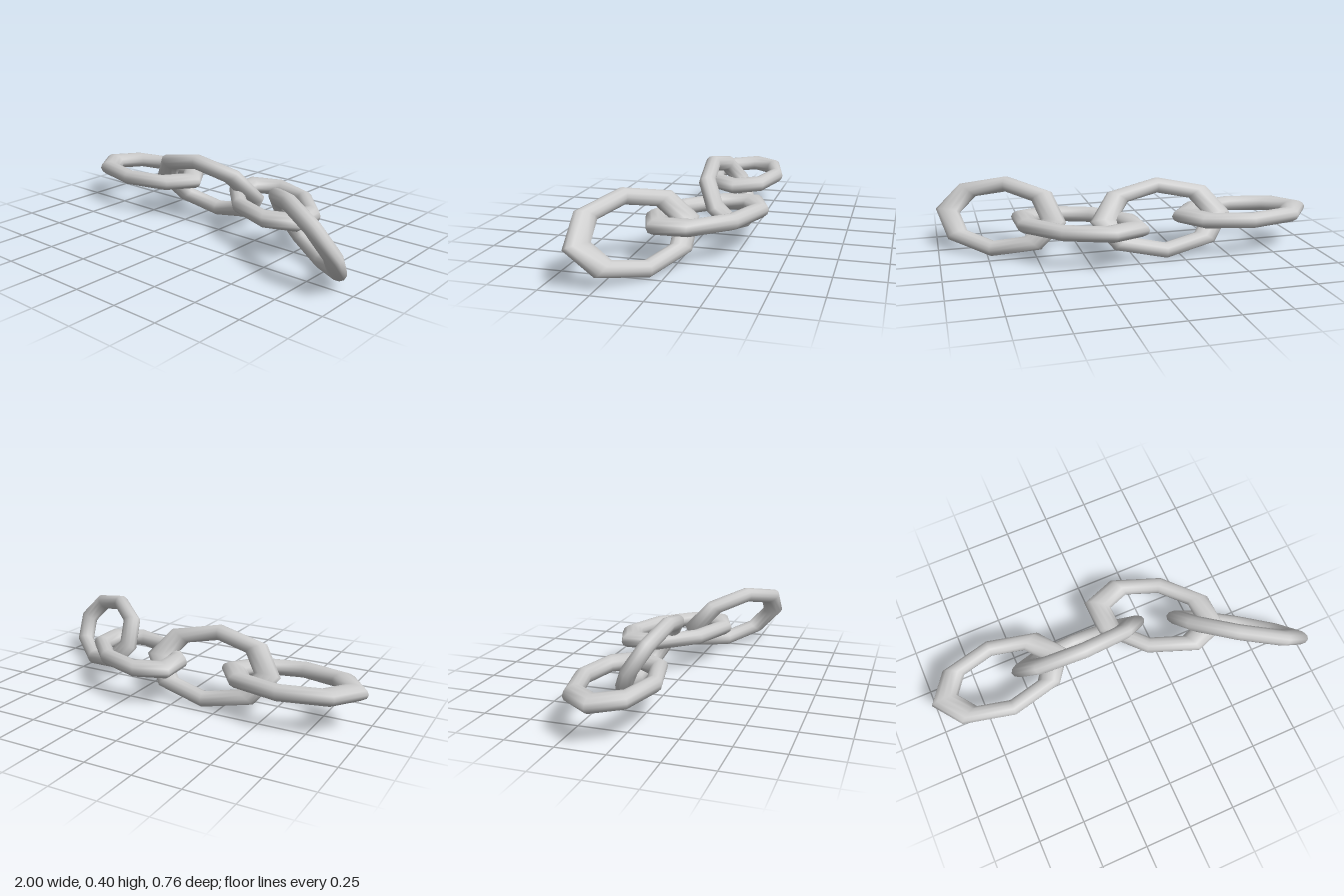
import * as THREE from 'three';

const RING = 0.18, WIRE = 0.042, STRETCH = 1.757;
const YAW = -THREE.MathUtils.degToRad(34);
const TILT = THREE.MathUtils.degToRad(30);

// Eight-cornered oval ring, long along x, lying in the xy plane
function linkGeometry() {
  return new THREE.TorusGeometry(RING, WIRE, 12, 8).scale(STRETCH, 1, 1);
}

export function createModel() {
  const chain = new THREE.Group();
  chain.name = 'chain';
  const material = new THREE.MeshStandardMaterial({ color: 0xcccccc });
  const geometry = linkGeometry();

  // Flat and tilted links alternate; the second pair swings to the front
  const links = [
    { name: 'flatLinkEnd', x: -0.61, z: -0.1, yaw: 0, roll: Math.PI / 2 },
    { name: 'tiltedLinkMiddle', x: -0.16, z: -0.097, yaw: 0, roll: TILT },
    { name: 'flatLinkMiddle', x: 0.29, z: -0.097, yaw: YAW, roll: Math.PI / 2 },
    { name: 'tiltedLinkEnd', x: 0.672, z: 0.154, yaw: YAW, roll: TILT },
  ];
  for (const { name, x, z, yaw, roll } of links) {
    const link = new THREE.Mesh(geometry, material);
    link.name = name;
    link.position.set(x, 0.204, z);
    link.rotation.set(roll, yaw, 0, 'YXZ');
    chain.add(link);
  }
  return chain;
}
